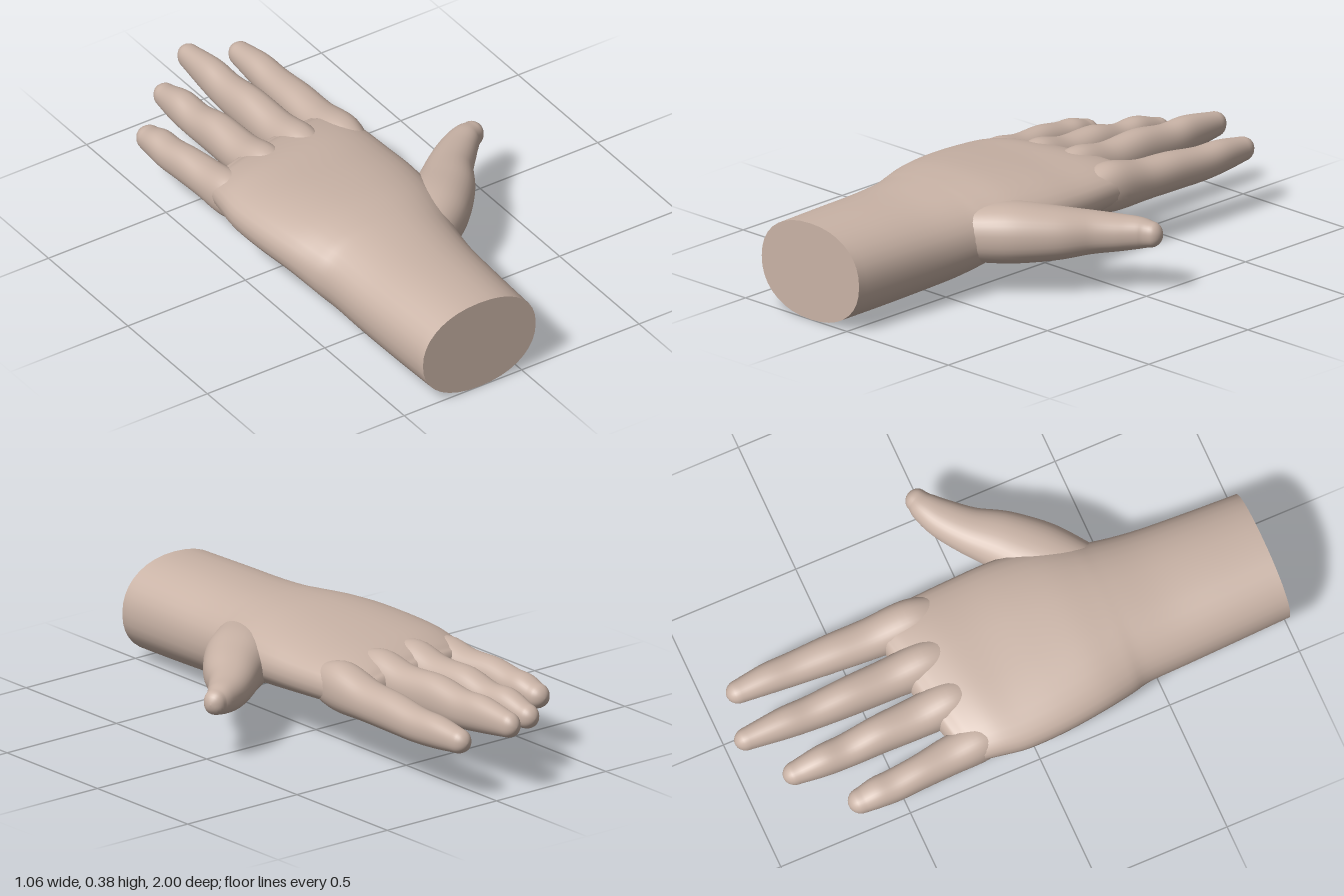
import * as THREE from 'three';

const SIDES = 36;
const skin = new THREE.MeshStandardMaterial({ color: 0xc9b3a6 });

// Lofts superelliptic rings through sections [x, y, z, halfWidth, halfHeight, exponent],
// with a flat start and a rounded tip of length tip.
function loft(name, sections, { steps, tip, dir = null, warp = null }) {
  const curve = (f) => new THREE.CatmullRomCurve3(sections.map(f), false, 'catmullrom', 0.5);
  const path = curve((s) => new THREE.Vector3(s[0], s[1], s[2]));
  const size = curve((s) => new THREE.Vector3(s[3], s[4], s[5] ?? 2.2));
  const up = new THREE.Vector3(0, 1, 0);
  const pos = [], index = [];
  let rings = 0;

  const addRing = (centre, along, w, h, n) => {
    const side = new THREE.Vector3().crossVectors(along, up);
    for (let j = 0; j < SIDES; j++) {
      const a = (j / SIDES) * Math.PI * 2, c = Math.cos(a), s = Math.sin(a);
      const p = centre.clone()
        .addScaledVector(side, w * Math.sign(c) * Math.abs(c) ** (2 / n))
        .addScaledVector(up, h * Math.sign(s) * Math.abs(s) ** (2 / n));
      if (warp) warp(p);
      pos.push(p.x, p.y, p.z);
    }
    rings++;
  };
  const heading = (t) => dir ?? path.getTangent(t).setY(0).normalize();

  for (let i = 0; i <= steps; i++) {
    const t = i / steps, r = size.getPoint(t);
    addRing(path.getPoint(t), heading(t), r.x, r.y, r.z);
  }
  // rounded tip
  const end = path.getPoint(1), r = size.getPoint(1), along = heading(1);
  for (let k = 1; k <= 7; k++) {
    const a = (k / 7) * Math.PI / 2, c = Math.max(Math.cos(a), 0.01);
    addRing(end.clone().addScaledVector(along, tip * Math.sin(a)), along, r.x * c, r.y * c, r.z);
  }
  for (let i = 0; i < rings - 1; i++) {
    for (let j = 0; j < SIDES; j++) {
      const a = i * SIDES + j, b = i * SIDES + (j + 1) % SIDES;
      index.push(a, a + SIDES, b, b, a + SIDES, b + SIDES);
    }
  }
  // flat start cap with its own vertices
  const base = pos.length / 3;
  pos.push(...pos.slice(0, SIDES * 3), ...sections[0].slice(0, 3));
  for (let j = 0; j < SIDES; j++) index.push(base + SIDES, base + j, base + (j + 1) % SIDES);

  const g = new THREE.BufferGeometry();
  g.setAttribute('position', new THREE.Float32BufferAttribute(pos, 3));
  g.setIndex(index);
  g.computeVertexNormals();
  const mesh = new THREE.Mesh(g, skin);
  mesh.name = name;
  return mesh;
}

export function createModel() {
  const hand = new THREE.Group();
  hand.name = 'hand';
  const forward = new THREE.Vector3(0, 0, -1);

  // forearm, wrist and palm in one skin; the knuckle line slants towards the index finger
  hand.add(loft('forearmAndPalm', [
    [-0.18, 0.185, 1.0, 0.24, 0.18, 2.2],
    [-0.181, 0.188, 0.8, 0.249, 0.178, 2.2],
    [-0.18, 0.193, 0.6, 0.26, 0.173, 2.2],
    [-0.175, 0.205, 0.45, 0.275, 0.17, 2.2],
    [-0.175, 0.219, 0.37, 0.297, 0.161, 2.2],
    [-0.175, 0.24, 0.25, 0.325, 0.143, 2.2],
    [-0.178, 0.246, 0.1, 0.342, 0.127, 2.3],
    [-0.182, 0.246, -0.05, 0.343, 0.112, 2.4],
    [-0.18, 0.247, -0.18, 0.332, 0.1, 2.5],
    [-0.178, 0.242, -0.27, 0.32, 0.083, 2.5],
    [-0.176, 0.238, -0.31, 0.31, 0.066, 2.5],
  ], {
    steps: 50, tip: 0.035, dir: forward,
    warp: (p) => { p.z -= 0.18 * (p.x + 0.18) * THREE.MathUtils.smoothstep(-p.z, 0, 0.3); },
  }));

  // fingers: rows of [x, y, z, halfWidth, halfHeight], swelling at the joints
  const fingers = {
    littleFinger: [
      [-0.425, 0.225, -0.1, 0.05, 0.06], [-0.428, 0.23, -0.2, 0.07, 0.083],
      [-0.433, 0.225, -0.32, 0.068, 0.07], [-0.446, 0.225, -0.44, 0.06, 0.068],
      [-0.452, 0.217, -0.54, 0.058, 0.06], [-0.453, 0.218, -0.61, 0.055, 0.056],
      [-0.455, 0.21, -0.67, 0.046, 0.045]],
    ringFinger: [
      [-0.25, 0.245, -0.1, 0.05, 0.06], [-0.256, 0.25, -0.23, 0.075, 0.095],
      [-0.26, 0.24, -0.37, 0.073, 0.077], [-0.264, 0.24, -0.52, 0.066, 0.078],
      [-0.268, 0.228, -0.64, 0.06, 0.063], [-0.27, 0.23, -0.74, 0.055, 0.064],
      [-0.27, 0.22, -0.84, 0.042, 0.044]],
    middleFinger: [
      [-0.085, 0.25, -0.1, 0.05, 0.06], [-0.088, 0.253, -0.25, 0.076, 0.098],
      [-0.09, 0.247, -0.4, 0.072, 0.082], [-0.094, 0.253, -0.56, 0.067, 0.083],
      [-0.095, 0.248, -0.7, 0.06, 0.07], [-0.095, 0.256, -0.81, 0.055, 0.066],
      [-0.095, 0.255, -0.95, 0.04, 0.046]],
    indexFinger: [
      [0.07, 0.24, -0.1, 0.05, 0.06], [0.076, 0.247, -0.24, 0.078, 0.09],
      [0.08, 0.233, -0.4, 0.073, 0.073], [0.085, 0.23, -0.54, 0.068, 0.07],
      [0.09, 0.222, -0.68, 0.06, 0.062], [0.092, 0.225, -0.79, 0.054, 0.058],
      [0.09, 0.222, -0.9, 0.042, 0.044]],
  };
  for (const [name, sections] of Object.entries(fingers)) {
    hand.add(loft(name, sections, { steps: 36, tip: 0.048, dir: forward }));
  }

  // thumb, turned out from the base of the palm
  hand.add(loft('thumb', [
    [0.0, 0.22, 0.4, 0.1, 0.1],
    [0.115, 0.223, 0.285, 0.122, 0.108],
    [0.225, 0.222, 0.185, 0.108, 0.095],
    [0.31, 0.222, 0.09, 0.085, 0.077],
    [0.39, 0.222, 0.02, 0.07, 0.065],
    [0.45, 0.225, -0.02, 0.055, 0.056],
    [0.49, 0.225, -0.037, 0.042, 0.046],
  ], { steps: 36, tip: 0.04 }));

  return hand;
}
